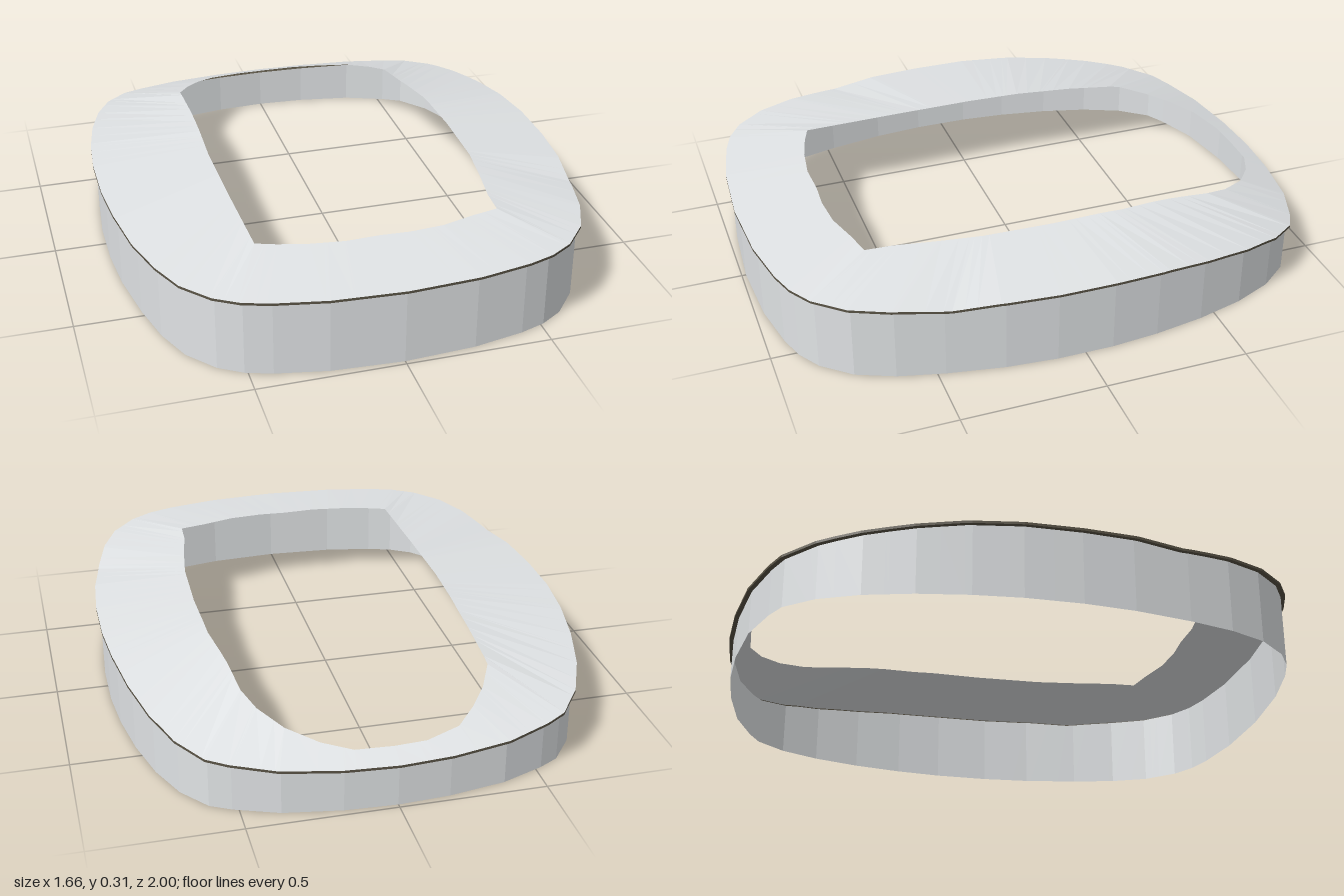
import * as THREE from 'three';

// Outer outline, one half from back to front (x, z); mirrored for the other half
const OUTER_HALF = [
  [0, -1], [0.18, -0.99], [0.38, -0.957], [0.53, -0.9], [0.6, -0.862], [0.68, -0.76], [0.74, -0.62],
  [0.785, -0.45], [0.815, -0.27], [0.83, -0.1], [0.83, 0.1], [0.815, 0.28], [0.78, 0.48], [0.74, 0.64],
  [0.685, 0.77], [0.6, 0.87], [0.52, 0.92], [0.43, 0.95], [0.25, 0.985], [0, 1],
];
const OUTER = [...OUTER_HALF, ...OUTER_HALF.slice(1, -1).reverse().map(([x, z]) => [-x, z])];

// Opening outline, slightly wider on the left side
const INNER = [
  [0, -0.925], [0.13, -0.92], [0.23, -0.875], [0.33, -0.8], [0.4, -0.7], [0.435, -0.61], [0.45, -0.45],
  [0.48, -0.25], [0.487, 0], [0.48, 0.25], [0.46, 0.4], [0.435, 0.55], [0.43, 0.645], [0.34, 0.665],
  [0.22, 0.7], [0.1, 0.71], [0, 0.705], [-0.12, 0.71], [-0.24, 0.695], [-0.34, 0.67], [-0.41, 0.645],
  [-0.42, 0.3], [-0.425, 0], [-0.415, -0.3], [-0.41, -0.63], [-0.36, -0.73], [-0.3, -0.81],
  [-0.23, -0.88], [-0.11, -0.92],
];

// Heights along z for the outer lip and the raised opening edge
const LIP_HEIGHT = [[-1, 0.157], [-0.85, 0.187], [-0.7, 0.215], [-0.5, 0.242], [-0.3, 0.262], [-0.1, 0.27],
  [0.3, 0.271], [0.45, 0.261], [0.6, 0.271], [1, 0.276]];
const EDGE_HEIGHT = [[-0.925, 0.184], [-0.8, 0.225], [-0.6, 0.275], [-0.4, 0.298], [-0.2, 0.31], [0.71, 0.31]];
const TRIM_HEIGHT = 0.009;

function heightAt(table, z) {
  for (let i = 1; i < table.length; i++) {
    const [z0, y0] = table[i - 1], [z1, y1] = table[i];
    if (z <= z1) return THREE.MathUtils.mapLinear(Math.max(z, z0), z0, z1, y0, y1);
  }
  return table[table.length - 1][1];
}

// Point where a ray from the centre meets an outline
function hit(outline, angle) {
  const dx = Math.cos(angle), dz = Math.sin(angle);
  for (let i = 0; i < outline.length; i++) {
    const [ax, az] = outline[i], [bx, bz] = outline[(i + 1) % outline.length];
    const ca = dx * az - dz * ax, cb = dx * bz - dz * bx;
    if (ca <= 1e-9 && cb >= -1e-9 && cb - ca > 1e-9) {
      const t = ca / (ca - cb);
      const x = ax + (bx - ax) * t, z = az + (bz - az) * t;
      if (x * dx + z * dz > 0) return [x, z];
    }
  }
  return outline[0];
}

// Faceted band between two closed loops
function band(a, b) {
  const pos = [];
  for (let i = 0; i < a.length; i++) {
    const j = (i + 1) % a.length;
    for (const p of [a[i], a[j], b[i], a[j], b[j], b[i]]) pos.push(...p);
  }
  const geometry = new THREE.BufferGeometry();
  geometry.setAttribute('position', new THREE.Float32BufferAttribute(pos, 3));
  geometry.computeVertexNormals();
  return geometry;
}

export function createModel() {
  const group = new THREE.Group();
  group.name = 'ringFrame';
  const grey = new THREE.MeshStandardMaterial({ color: 0xe0e3e5, side: THREE.DoubleSide });
  grey.name = 'pale grey';
  const dark = new THREE.MeshStandardMaterial({ color: 0x5a5446, side: THREE.DoubleSide });
  dark.name = 'dark olive';

  // Shared angles: every outline corner plus even steps
  const raw = [...OUTER, ...INNER].map(([x, z]) => Math.atan2(z, x));
  for (let i = 0; i < 72; i++) raw.push(-Math.PI + (i * Math.PI) / 36);
  raw.sort((p, q) => p - q);
  const angles = raw.filter((v, i) => (i === 0 || v - raw[i - 1] > 1e-3) && v < Math.PI - 1e-3);

  const lipTop = angles.map((t) => hit(OUTER, t)).map(([x, z]) => [x, heightAt(LIP_HEIGHT, z), z]);
  const edgeTop = angles.map((t) => hit(INNER, t)).map(([x, z]) => [x, heightAt(EDGE_HEIGHT, z), z]);
  const lipBottom = lipTop.map(([x, y, z]) => [x, y - TRIM_HEIGHT, z]);
  const wallTop = lipBottom.map(([x, y, z]) => [x * 0.983, y, z * 0.985]);
  const wallBase = wallTop.map(([x, , z]) => [x, 0, z]);

  const add = (name, a, b, material) => {
    const mesh = new THREE.Mesh(band(a, b), material);
    mesh.name = name;
    group.add(mesh);
  };
  // Thin sloping plate with a dark overhanging trim, over an open-bottomed skirt wall
  add('topPlate', edgeTop, lipTop, grey);
  add('trimEdge', lipTop, lipBottom, dark);
  add('trimUnderside', lipBottom, wallTop, dark);
  add('skirtWall', wallTop, wallBase, grey);
  return group;
}
